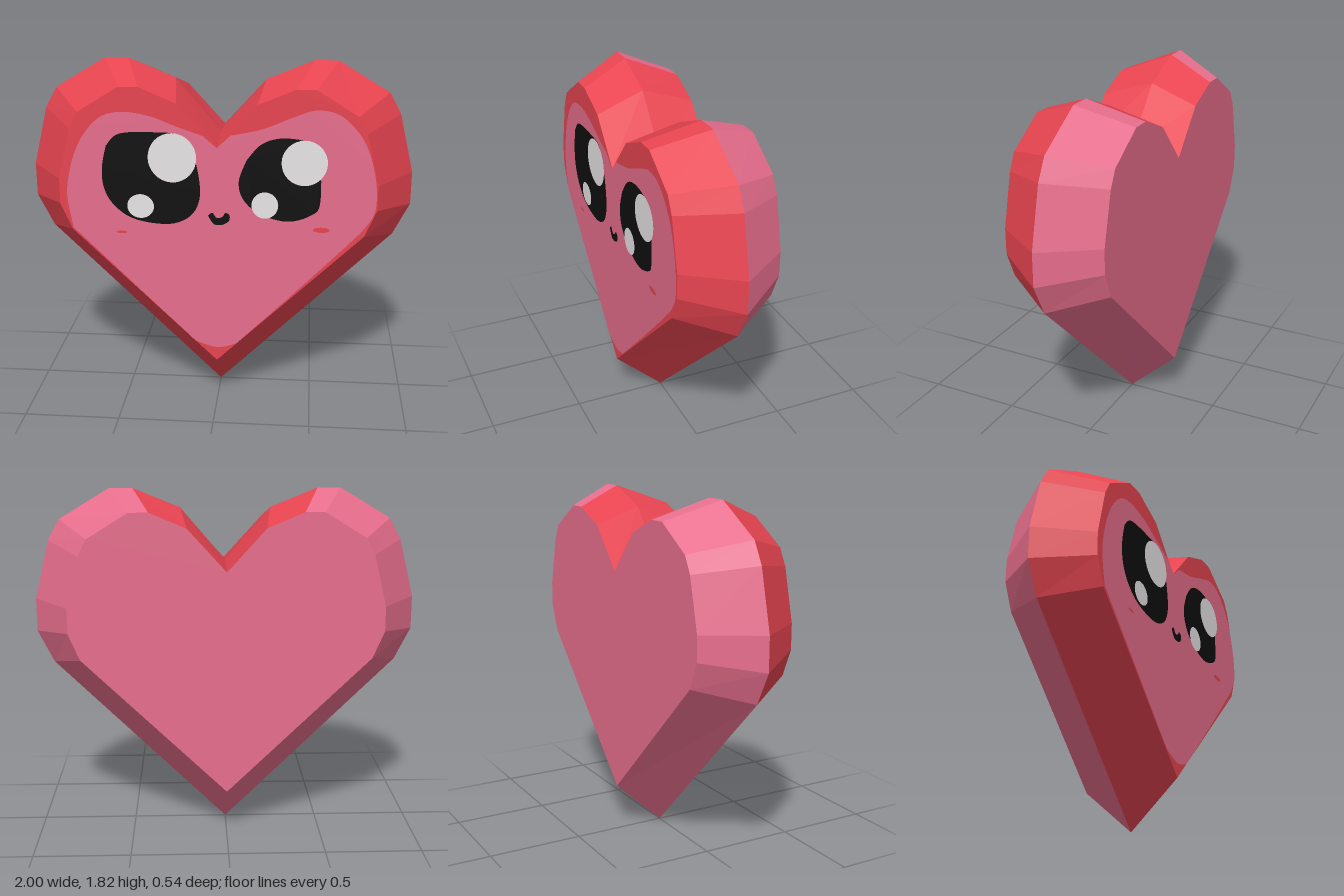
import * as THREE from 'three';

const DEPTH = 0.265;
// Right half of the heart from notch to tip: ridge at z = 0, face edge at z = +-DEPTH
const OUTER = [[0, 1.445], [0.235, 1.72], [0.48, 1.82], [0.6, 1.82], [0.865, 1.66],
  [0.925, 1.55], [1, 1.245], [1, 1.07], [0.915, 0.9], [0, 0]];
const INNER = [[0, 1.42], [0.2, 1.64], [0.39, 1.72], [0.49, 1.72], [0.7, 1.59],
  [0.745, 1.505], [0.81, 1.24], [0.81, 1.11], [0.75, 0.97], [0, 0.245]];

const vectors = (pts) => pts.map(([x, y]) => new THREE.Vector2(x, y));

export function createModel() {
  const group = new THREE.Group();
  group.name = 'heart';
  const material = (name, color) => {
    const m = new THREE.MeshStandardMaterial({ color });
    m.name = name;
    return m;
  };
  const red = material('red', 0xff4c59);
  const pink = material('pink', 0xff7a9c);
  const black = material('black', 0x0f0f0f);
  const white = material('white', 0xfffcfd);

  const add = (name, geometry, mat, z = 0) => {
    const mesh = new THREE.Mesh(geometry, mat);
    mesh.name = name;
    mesh.position.z = z;
    group.add(mesh);
    return mesh;
  };

  // Flat facets between ridge and face edge, on both halves of one side
  const bevel = (from, to, side) => {
    const pos = [];
    for (const mirror of [1, -1]) {
      for (let i = from; i < to; i++) {
        const o = (k) => [OUTER[k][0] * mirror, OUTER[k][1], 0];
        const n = (k) => [INNER[k][0] * mirror, INNER[k][1], DEPTH * side];
        const quad = [o(i), n(i), n(i + 1), o(i + 1)];
        if (mirror * side < 0) quad.reverse();
        for (const k of [0, 1, 2, 0, 2, 3]) pos.push(...quad[k]);
      }
    }
    const g = new THREE.BufferGeometry();
    g.setAttribute('position', new THREE.Float32BufferAttribute(pos, 3));
    g.computeVertexNormals();
    return g;
  };
  add('frontBevel', bevel(0, 9, 1), red);
  add('backNotchBevel', bevel(0, 2, -1), red);
  add('backBevel', bevel(2, 9, -1), pink);

  // Front and back faces
  const left = INNER.slice(1, -1).reverse().map(([x, y]) => [-x, y]);
  const face = new THREE.ShapeGeometry(new THREE.Shape(vectors([...INNER, ...left])));
  add('frontFace', face, red, DEPTH);
  add('backFace', face, pink, -DEPTH).rotation.y = Math.PI;

  // Pink painted area of the front, curved at lobes and tip
  const patch = new THREE.Shape();
  patch.moveTo(0.1, 0.345);
  patch.lineTo(0.38, 0.625);
  patch.splineThru(vectors([[0.66, 0.915], [0.76, 1.03], [0.803, 1.13], [0.79, 1.3], [0.73, 1.47],
    [0.62, 1.59], [0.5, 1.62], [0.385, 1.585], [0.225, 1.52], [0.07, 1.485]]));
  patch.lineTo(0, 1.42);
  patch.lineTo(-0.07, 1.48);
  patch.splineThru(vectors([[-0.2, 1.525], [-0.335, 1.575], [-0.47, 1.595], [-0.58, 1.57],
    [-0.67, 1.48], [-0.73, 1.36], [-0.765, 1.22], [-0.768, 1.12], [-0.745, 0.98]]));
  patch.lineTo(-0.115, 0.357);
  patch.splineThru(vectors([[0, 0.322], [0.1, 0.345]]));
  add('facePatch', new THREE.ShapeGeometry(patch, 40), pink, DEPTH + 0.003);

  // Smooth closed blobs and ellipses painted on the face
  const blob = (name, pts, mat, z) => {
    const curve = new THREE.SplineCurve(vectors([...pts, pts[0]]));
    add(name, new THREE.ShapeGeometry(new THREE.Shape(curve.getPoints(64))), mat, z);
  };
  const ellipse = (name, x, y, rx, ry, mat, z) => {
    const mesh = add(name, new THREE.CircleGeometry(1, 32), mat, z);
    mesh.position.set(x, y, z);
    mesh.scale.set(rx, ry, 1);
  };
  const zInk = DEPTH + 0.006, zShine = DEPTH + 0.009;

  blob('rightEye', [[-0.56, 1.42], [-0.49, 1.485], [-0.31, 1.495], [-0.18, 1.48], [-0.12, 1.39],
    [-0.088, 1.25], [-0.09, 1.14], [-0.14, 1.055], [-0.25, 1.013], [-0.42, 1.035],
    [-0.525, 1.105], [-0.577, 1.2], [-0.583, 1.31]], black, zInk);
  blob('leftEye', [[0.15, 1.36], [0.225, 1.445], [0.33, 1.477], [0.46, 1.455], [0.515, 1.36],
    [0.523, 1.145], [0.48, 1.08], [0.36, 1.043], [0.22, 1.08], [0.135, 1.155],
    [0.112, 1.25]], black, zInk);
  ellipse('rightEyeLargeShine', -0.225, 1.365, 0.123, 0.128, white, zShine);
  ellipse('rightEyeSmallShine', -0.39, 1.107, 0.069, 0.064, white, zShine);
  ellipse('leftEyeLargeShine', 0.44, 1.352, 0.115, 0.117, white, zShine);
  ellipse('leftEyeSmallShine', 0.245, 1.127, 0.068, 0.07, white, zShine);

  // Mouth and cheek marks
  blob('mouth', [[-0.044, 1.064], [-0.022, 1.08], [0, 1.053], [0.03, 1.06], [0.043, 1.08],
    [0.065, 1.07], [0.062, 1.037], [0.025, 1.016], [-0.015, 1.02]], black, zInk);
  ellipse('rightCheek', -0.492, 0.963, 0.028, 0.007, red, zInk);
  ellipse('leftCheek', 0.533, 1.002, 0.043, 0.014, red, zInk);

  return group;
}
